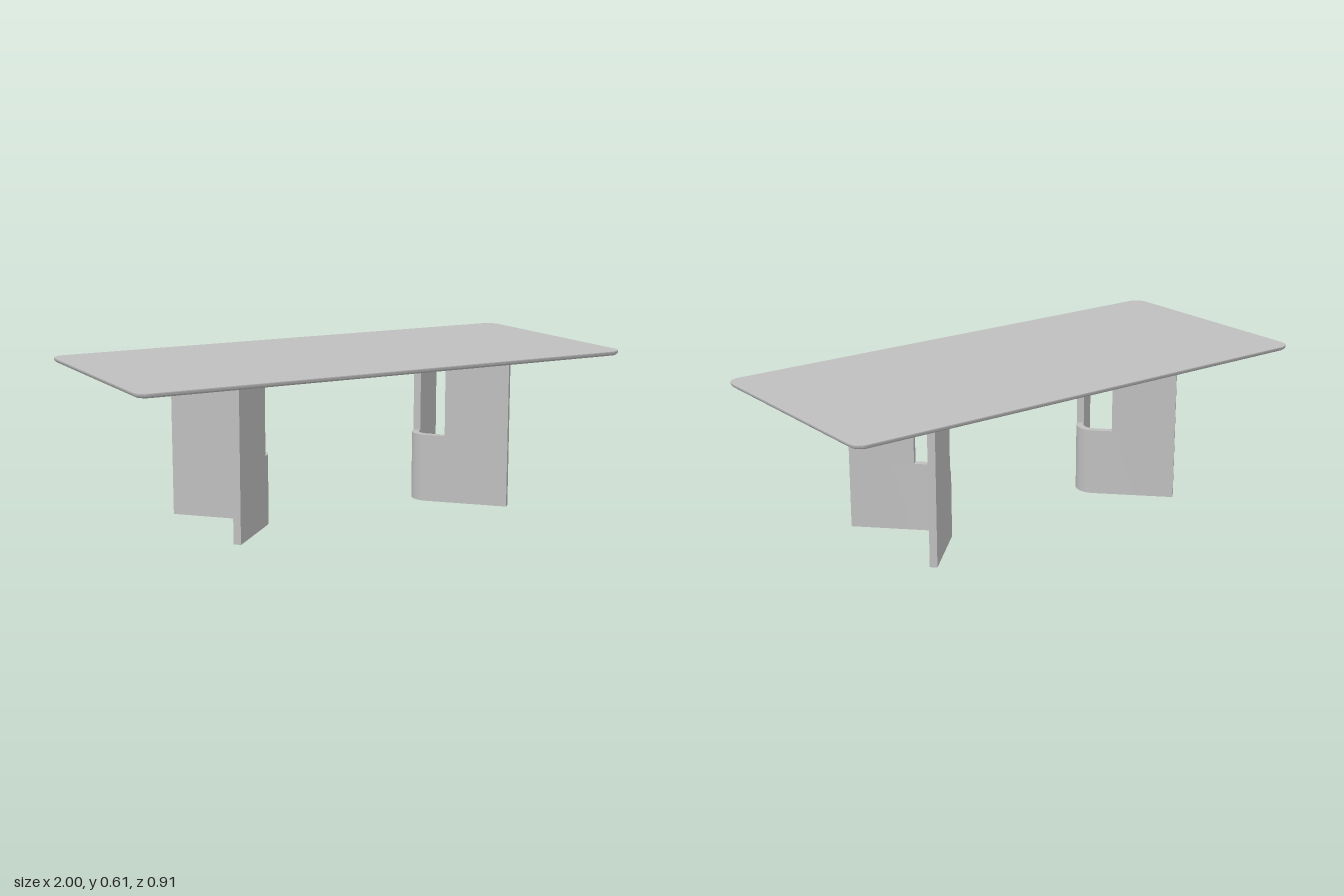
import * as THREE from 'three';
import { toCreasedNormals } from 'three/addons/utils/BufferGeometryUtils.js';

const grey = new THREE.MeshStandardMaterial({ color: 0xbfbfbf });
grey.name = 'satin grey';

const FLOOR_TO_PLATE = 0.581, NOTCH_Y = 0.268, TOP_UNDERSIDE = 0.593, TOP_Y = 0.613;

function addMesh(parent, name, geometry) {
  const mesh = new THREE.Mesh(geometry, grey);
  mesh.name = name;
  parent.add(mesh);
}

// Extrude a plan outline of [x, z] points upward from y0 to y1
function extrudePlan(points, y0, y1) {
  const shape = new THREE.Shape(points.map(([x, z]) => new THREE.Vector2(x, -z)));
  const geo = new THREE.ExtrudeGeometry(shape, { depth: y1 - y0, bevelEnabled: false });
  geo.rotateX(-Math.PI / 2).translate(0, y0, 0);
  return toCreasedNormals(geo, 0.5);
}

// Rounded rectangle as [x, z] points
function roundedRect(halfX, halfZ, r, steps = 10) {
  const pts = [];
  [[1, 1], [-1, 1], [-1, -1], [1, -1]].forEach(([sx, sz], q) => {
    for (let i = 0; i <= steps; i++) {
      const a = (q + i / steps) * Math.PI / 2;
      pts.push([sx * (halfX - r) + r * Math.cos(a), sz * (halfZ - r) + r * Math.sin(a)]);
    }
  });
  return pts;
}

// Slab lofted from rounded rectangles, with a softly rounded lower edge
function tabletopGeometry() {
  const levels = [[TOP_UNDERSIDE, 0.02], [0.5942, 0.0125], [0.5975, 0.006], [0.602, 0.0018],
    [0.608, 0], [0.6118, 0.0006], [TOP_Y, 0.002]]; // [height, inset]
  const positions = [], index = [];
  let n = 0;
  for (const [y, inset] of levels) {
    const ring = roundedRect(1 - inset, 0.457 - inset, 0.05 - inset);
    n = ring.length;
    ring.forEach(([x, z]) => positions.push(x, y, z));
  }
  for (let l = 0; l < levels.length - 1; l++) {
    for (let i = 0; i < n; i++) {
      const a = l * n + i, b = l * n + (i + 1) % n;
      index.push(a, a + n, b, b, a + n, b + n);
    }
  }
  // Flat caps fanned across the slab
  const last = (levels.length - 1) * n;
  for (let i = 1; i < n - 1; i++) {
    index.push(0, i, i + 1);
    index.push(last, last + i + 1, last + i);
  }
  const geo = new THREE.BufferGeometry();
  geo.setAttribute('position', new THREE.Float32BufferAttribute(positions, 3));
  geo.setIndex(index);
  return toCreasedNormals(geo, 0.6);
}

// Arc of the bend, running from the front wing round to the back wing
function bendArc(r, steps = 14) {
  const pts = [];
  for (let i = 0; i <= steps; i++) {
    const a = Math.PI * (0.75 + 0.5 * i / steps);
    pts.push([0.4128 + r * Math.cos(a), 0.0025 + r * Math.sin(a)]);
  }
  return pts;
}

function createLeg() {
  const leg = new THREE.Group();
  // Corners of each wing: outer and inner face, at the notch and at the free end
  const front = { notchOut: [0.408, 0.108], notchIn: [0.428, 0.088], endOut: [0.585, 0.285], endIn: [0.605, 0.265] };
  const back = { notchOut: [0.368, -0.063], notchIn: [0.388, -0.043], endOut: [0.56, -0.255], endIn: [0.58, -0.235] };

  addMesh(leg, 'bentLegBase', extrudePlan(
    [front.endOut, ...bendArc(0.078), back.endOut, back.endIn, ...bendArc(0.05).reverse(), front.endIn],
    0, NOTCH_Y));
  for (const [name, w] of [['frontWing', front], ['backWing', back]]) {
    addMesh(leg, name, extrudePlan([w.notchOut, w.endOut, w.endIn, w.notchIn], NOTCH_Y, FLOOR_TO_PLATE));
  }

  // Mounting plate under the top
  const plate = new THREE.BoxGeometry(0.335, TOP_UNDERSIDE - FLOOR_TO_PLATE, 0.666);
  plate.translate(0.489, (TOP_UNDERSIDE + FLOOR_TO_PLATE) / 2, 0.0175);
  addMesh(leg, 'mountingPlate', plate);
  return leg;
}

export function createModel() {
  const table = new THREE.Group();
  table.name = 'table';
  addMesh(table, 'tabletop', tabletopGeometry());

  const leftLeg = createLeg();
  leftLeg.name = 'leftLeg';
  // The second leg is the first turned half way round
  const rightLeg = createLeg();
  rightLeg.name = 'rightLeg';
  rightLeg.rotation.y = Math.PI;
  rightLeg.position.z = 0.035;
  table.add(leftLeg, rightLeg);
  return table;
}
